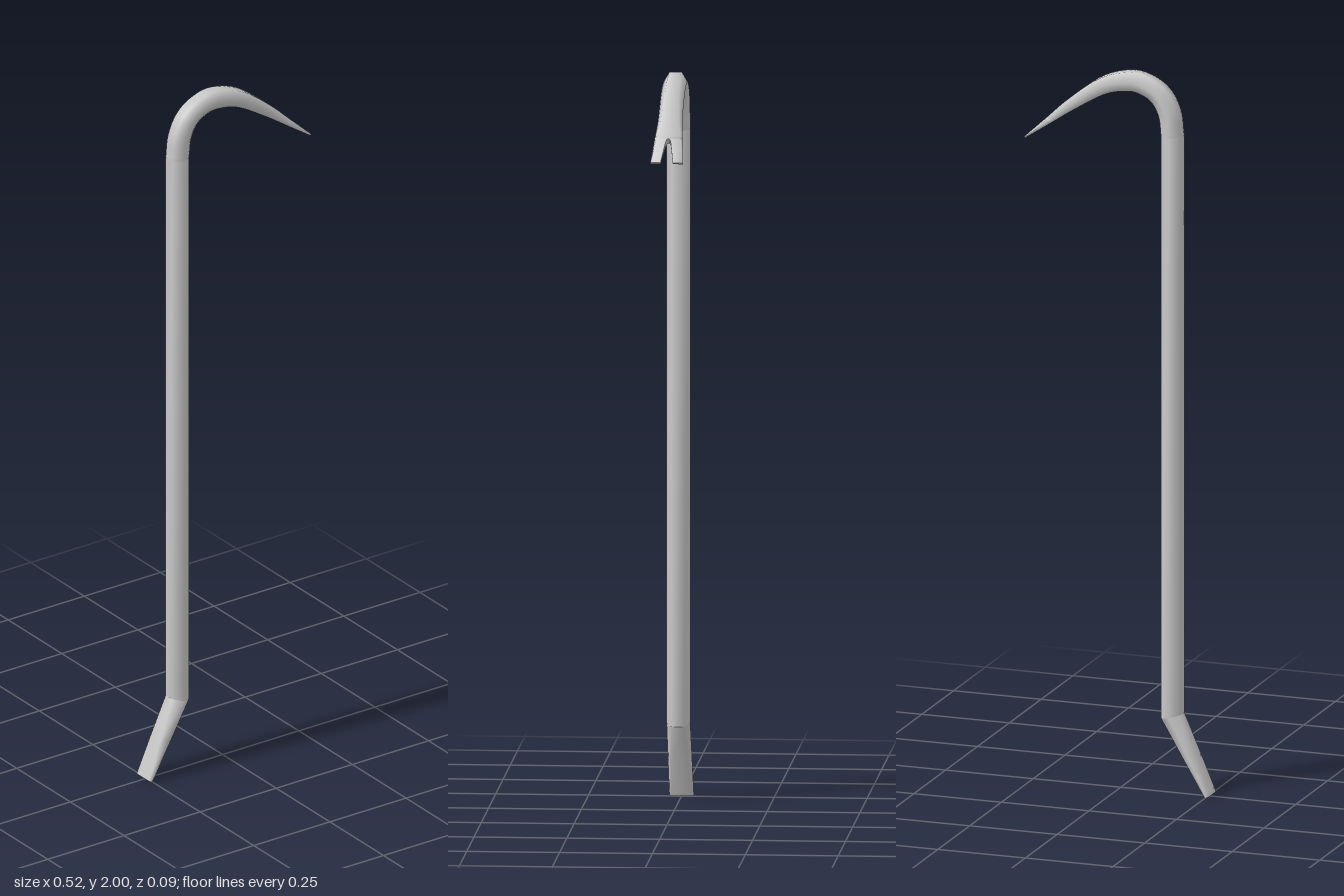
import * as THREE from 'three';
import { mergeGeometries, toCreasedNormals } from 'three/addons/utils/BufferGeometryUtils.js';

// Stations along the bar: [x, y, half thickness, half width, flat-face ratio, slot half width]
const CHISEL = [
  [-0.256, 0.003, 0.006, 0.033, 0.88, 0],
  [-0.25, 0.016, 0.0075, 0.033, 0.86, 0],
  [-0.203, 0.109, 0.0175, 0.0325, 0.68, 0],
  [-0.1485, 0.215, 0.0282, 0.032, 0.5, 0],
];
const HOOK = [
  [-0.1485, 1.83, 0.0275, 0.032, 0.5, 0],
  [-0.141, 1.89, 0.0275, 0.032, 0.5, 0],
  [-0.117, 1.937, 0.0275, 0.032, 0.5, 0],
  [-0.078, 1.964, 0.027, 0.032, 0.5, 0],
  [-0.029, 1.9735, 0.0262, 0.032, 0.51, 0],
  [0.045, 1.955, 0.0225, 0.032, 0.56, 0],
  [0.13, 1.9, 0.0165, 0.0328, 0.7, 0],
  [0.194, 1.85, 0.0095, 0.0385, 0.85, 0],
];
const CLAW = [
  [0.1955, 1.8488, 0.0093, 0.0386, 0.85, 0.003],
  [0.199, 1.846, 0.009, 0.0389, 0.86, 0.0055],
  [0.206, 1.8405, 0.0083, 0.0396, 0.88, 0.0073],
  [0.259, 1.799, 0.0025, 0.0445, 0.97, 0.0165],
];

// Smooth the hook stations, all six values together
function smooth(list, steps) {
  const curve = (k) => new THREE.CatmullRomCurve3(
    list.map((s) => new THREE.Vector3(s[k], s[k + 1], s[k + 2])), false, 'catmullrom', 0.5);
  const a = curve(0), b = curve(3);
  return Array.from({ length: steps + 1 }, (_, i) =>
    [...a.getPoint(i / steps).toArray(), ...b.getPoint(i / steps).toArray()]);
}

// Add the in-plane normal to each station
function addNormals(list) {
  const dir = (p, q) => new THREE.Vector2(q[0] - p[0], q[1] - p[1]).normalize();
  return list.map((s, i) => {
    const t = new THREE.Vector2();
    if (i > 0) t.add(dir(list[i - 1], s));
    if (i < list.length - 1) t.add(dir(s, list[i + 1]));
    t.normalize();
    return { s, nx: -t.y, ny: t.x };
  });
}

// Hexagon flattening towards a blade
const hexSection = ([, , t, w, f]) =>
  [[t, -w * f], [t, w * f], [0, w], [-t, w * f], [-t, -w * f], [0, -w]];

// One half of the split claw; side is +1 or -1
const prongSection = (side) => ([, , t, w, f, slot]) => {
  const p = [[t, slot], [t, w * f], [0, w], [-t, w * f], [-t, slot]];
  return side > 0 ? p : p.map(([n, z]) => [n, -z]).reverse();
};

// Skin a run of cross-sections
function loft(stations, section, capStart, capEnd) {
  const pos = [], index = [];
  let n = 0;
  for (const { s, nx, ny } of stations) {
    const ring = section(s);
    n = ring.length;
    for (const [a, z] of ring) pos.push(s[0] + nx * a, s[1] + ny * a, z);
  }
  for (let i = 0; i < stations.length - 1; i++) {
    for (let j = 0; j < n; j++) {
      const k = (j + 1) % n, a = i * n, b = a + n;
      index.push(a + j, a + k, b + k, a + j, b + k, b + j);
    }
  }
  const last = (stations.length - 1) * n;
  for (let j = 1; j < n - 1; j++) {
    if (capStart) index.push(0, j + 1, j);
    if (capEnd) index.push(last, last + j, last + j + 1);
  }
  const g = new THREE.BufferGeometry();
  g.setAttribute('position', new THREE.Float32BufferAttribute(pos, 3));
  g.setIndex(index);
  return g;
}

export function createModel() {
  const model = new THREE.Group();
  model.name = 'pryBar';
  const material = new THREE.MeshStandardMaterial({ color: 0xcccccc });
  const add = (name, geometry) => {
    const mesh = new THREE.Mesh(toCreasedNormals(geometry, 1.15), material);
    mesh.name = name;
    model.add(mesh);
  };

  const hook = smooth(HOOK, 42);
  const path = addNormals([...CHISEL, ...hook, ...CLAW]);
  const bend = CHISEL.length - 1;
  const hookStart = CHISEL.length;
  const split = hookStart + hook.length - 1;

  // Bent chisel foot
  add('chiselEnd', loft(path.slice(0, bend + 1), hexSection, true, false));

  // Straight hexagonal shaft
  add('shaft', loft(path.slice(bend, hookStart + 1), hexSection, false, false));

  // Curved hook with its two-pronged claw
  add('clawHook', mergeGeometries([
    loft(path.slice(hookStart, split + 1), hexSection, false, false),
    ...[1, -1].map((side) => loft(path.slice(split), prongSection(side), false, true)),
  ]));

  return model;
}
